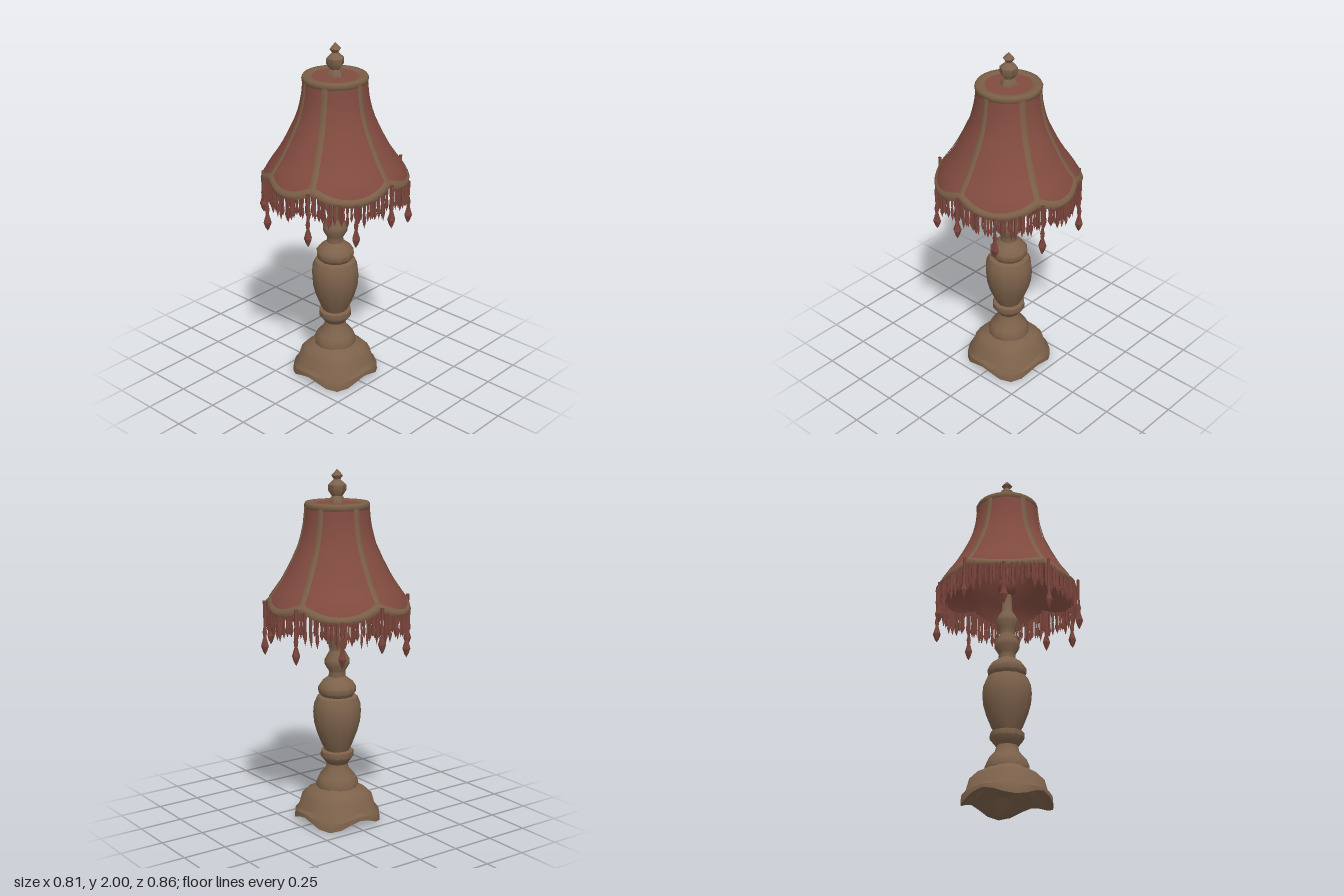
import * as THREE from 'three';
import { mergeGeometries, toCreasedNormals } from 'three/addons/utils/BufferGeometryUtils.js';

const TAU = Math.PI * 2;
const DEG = Math.PI / 180;

function makeMaterial(name, color) {
  const m = new THREE.MeshStandardMaterial({ color, side: THREE.DoubleSide });
  m.name = name;
  return m;
}

// Grid surface from a rule fn(u, v) -> [x, y, z]
function patch(fn, nu, nv) {
  const pos = [], idx = [];
  for (let j = 0; j <= nv; j++) for (let i = 0; i <= nu; i++) pos.push(...fn(i / nu, j / nv));
  for (let j = 0; j < nv; j++) for (let i = 0; i < nu; i++) {
    const a = j * (nu + 1) + i, b = a + 1, c = a + nu + 1, d = c + 1;
    idx.push(a, c, b, b, c, d);
  }
  const g = new THREE.BufferGeometry();
  g.setAttribute('position', new THREE.Float32BufferAttribute(pos, 3));
  g.setIndex(idx);
  g.computeVertexNormals();
  return g;
}

function lathe(points, sides) {
  return new THREE.LatheGeometry(points.map(([r, y]) => new THREE.Vector2(r, y)), sides);
}

const polar = (r, y, a) => [r * Math.sin(a), y, r * Math.cos(a)];

// Rib directions in degrees, measured from the front
const RIBS = [0, 66, 114, 180, 246, 294, 360];

// Height of the scalloped hem: high at the ribs, low between them
function hem(a) {
  const d = (((a / DEG) % 360) + 360) % 360;
  let k = 0;
  while (k < 5 && d >= RIBS[k + 1]) k++;
  const span = RIBS[k + 1] - RIBS[k];
  return 1.3 - (span > 50 ? 0.06 : 0.045) * Math.sin(Math.PI * (d - RIBS[k]) / span);
}

// Bell-shaped shade radius at a height
const BELL = [[1.82, 0.172], [1.7, 0.184], [1.6, 0.209], [1.5, 0.255], [1.4, 0.308], [1.3, 0.378], [1.25, 0.398], [1.15, 0.405]];
function bell(y) {
  let k = 0;
  while (k < BELL.length - 2 && y < BELL[k + 1][0]) k++;
  const [y0, r0] = BELL[k], [y1, r1] = BELL[k + 1];
  return r0 + (r1 - r0) * (y - y0) / (y1 - y0);
}

export function createModel() {
  const wood = makeMaterial('carved wood', 0x7d624b);
  const red = makeMaterial('red cloth', 0x824b40);
  const braid = makeMaterial('braid trim', 0x7a5e47);
  const fringeRed = makeMaterial('fringe red', 0x7a453c);

  const group = new THREE.Group();
  const add = (name, geo, mat) => {
    const m = new THREE.Mesh(geo, mat);
    m.name = name;
    group.add(m);
    return m;
  };
  let seed = 7;
  const rand = () => (seed = (seed * 16807) % 2147483647) / 2147483647;

  // Scalloped foot with a hollow underside; columns are radius, height, arch share
  const foot = [[0.1, 0.215, 0], [0.125, 0.195, 0], [0.165, 0.175, 0], [0.195, 0.145, 0], [0.212, 0.08, 0.1],
    [0.235, 0.05, 0.4], [0.238, 0.005, 1], [0.19, 0.015, 1], [0.13, 0.09, 0.2], [0, 0.11, 0]];
  const rows = foot.length - 1;
  add('base', toCreasedNormals(patch((u, v) => {
    const a = u * TAU, [r, y, s] = foot[Math.round(v * rows)];
    const c = Math.cos(4 * (a - Math.PI / 4));
    return polar(r * (1 + 0.04 * c), y + s * 0.025 * (1 - c) - (s === 1 ? 0.005 : 0), a);
  }, 24, rows), 0.7), wood);

  // Turned column
  add('column', toCreasedNormals(lathe([
    [0.1, 0.195], [0.12, 0.2], [0.12, 0.225], [0.105, 0.26], [0.066, 0.305], [0.06, 0.335], [0.072, 0.35],
    [0.095, 0.38], [0.093, 0.41], [0.07, 0.415], [0.088, 0.45], [0.115, 0.52], [0.131, 0.58], [0.136, 0.64],
    [0.131, 0.69], [0.115, 0.728], [0.09, 0.735], [0.106, 0.755], [0.108, 0.785], [0.088, 0.815], [0.048, 0.845],
    [0.046, 0.875], [0.07, 0.915], [0.07, 0.945], [0.042, 0.995], [0.05, 1.03], [0.064, 1.075], [0.05, 1.11],
    [0.03, 1.14], [0.026, 1.24]], 12), 0.75), wood);

  // Lamp holder and rod inside the shade
  add('lampHolder', lathe([[0.026, 1.24], [0.05, 1.27], [0.055, 1.31], [0.03, 1.37], [0.012, 1.38]], 10), fringeRed);
  add('rod', new THREE.CylinderGeometry(0.012, 0.012, 0.46, 6).translate(0, 1.6, 0), wood);

  // Finial
  add('finial', toCreasedNormals(lathe([
    [0.048, 1.815], [0.045, 1.83], [0.03, 1.855], [0.05, 1.885], [0.05, 1.915], [0.024, 1.938],
    [0.018, 1.945], [0.032, 1.965], [0, 2]], 6), 0.75), wood);

  // Cloth shade and its flat top
  add('shade', patch((u, v) => {
    const a = u * TAU, y = 1.81 + (hem(a) - 1.81) * v;
    return polar(bell(y), y, a);
  }, 60, 12), red);
  add('shadeTop', new THREE.CircleGeometry(0.14, 24).rotateX(-Math.PI / 2).translate(0, 1.818, 0), red);

  // Rounded ring at the top
  add('topRing', lathe([[0.168, 1.785], [0.178, 1.79], [0.181, 1.81], [0.174, 1.823], [0.15, 1.825], [0.125, 1.817]], 24), braid);

  // Braid strips over the seams
  for (const d of RIBS.slice(0, 6)) {
    add('rib', patch((u, v) => {
      const y = 1.8 + (hem(d * DEG) - 1.8) * v, r = bell(y);
      const a = d * DEG + (u - 0.5) * 0.034 / r;
      return polar(r + 0.002 + 0.005 * Math.sin(Math.PI * u), y, a);
    }, 4, 12), braid);
  }

  // Braid along the hem
  add('hemTrim', patch((u, v) => {
    const a = u * TAU, y = hem(a) + 0.022 - 0.044 * v;
    return polar(bell(y) + 0.001 + 0.008 * Math.sin(Math.PI * v), y, a);
  }, 72, 4), braid);

  // Hanging fringe of uneven tapered strands
  const strands = [];
  for (let i = 0; i < 140; i++) {
    const a = (i + 0.6 * rand()) / 140 * TAU;
    const top = hem(a) - 0.005, bottom = 1.085 + 0.065 * rand(), h = top - bottom;
    const w = 0.009 + 0.004 * rand();
    const g = lathe([[0, bottom], [w, bottom + h * 0.25], [w * 0.6, bottom + h * 0.55], [w, top]], 4);
    const [x, , z] = polar(bell(top) - 0.004 + 0.012 * (rand() - 0.5), 0, a);
    strands.push(g.rotateY(rand() * 3).translate(x, 0, z));
  }
  add('fringe', toCreasedNormals(mergeGeometries(strands), 0.5), fringeRed);

  // Long bead drops at the seams and in the middle of the wide panels
  for (const d of [0, 32, 68, 112, 148, 180, 212, 248, 292, 328]) {
    const a = d * DEG, low = d % 180 === 0 ? 1.05 : 0.99, top = hem(a);
    const g = lathe([[0, low], [0.012, low + 0.02], [0.023, low + 0.052], [0.009, low + 0.1],
      [0.013, low + 0.13], [0.007, low + 0.16], [0.01, top]], 5);
    const [x, , z] = polar(0.408, 0, a);
    add('beadDrop', toCreasedNormals(g.rotateY(a).translate(x, 0, z), 0.5), fringeRed);
  }
  return group;
}
